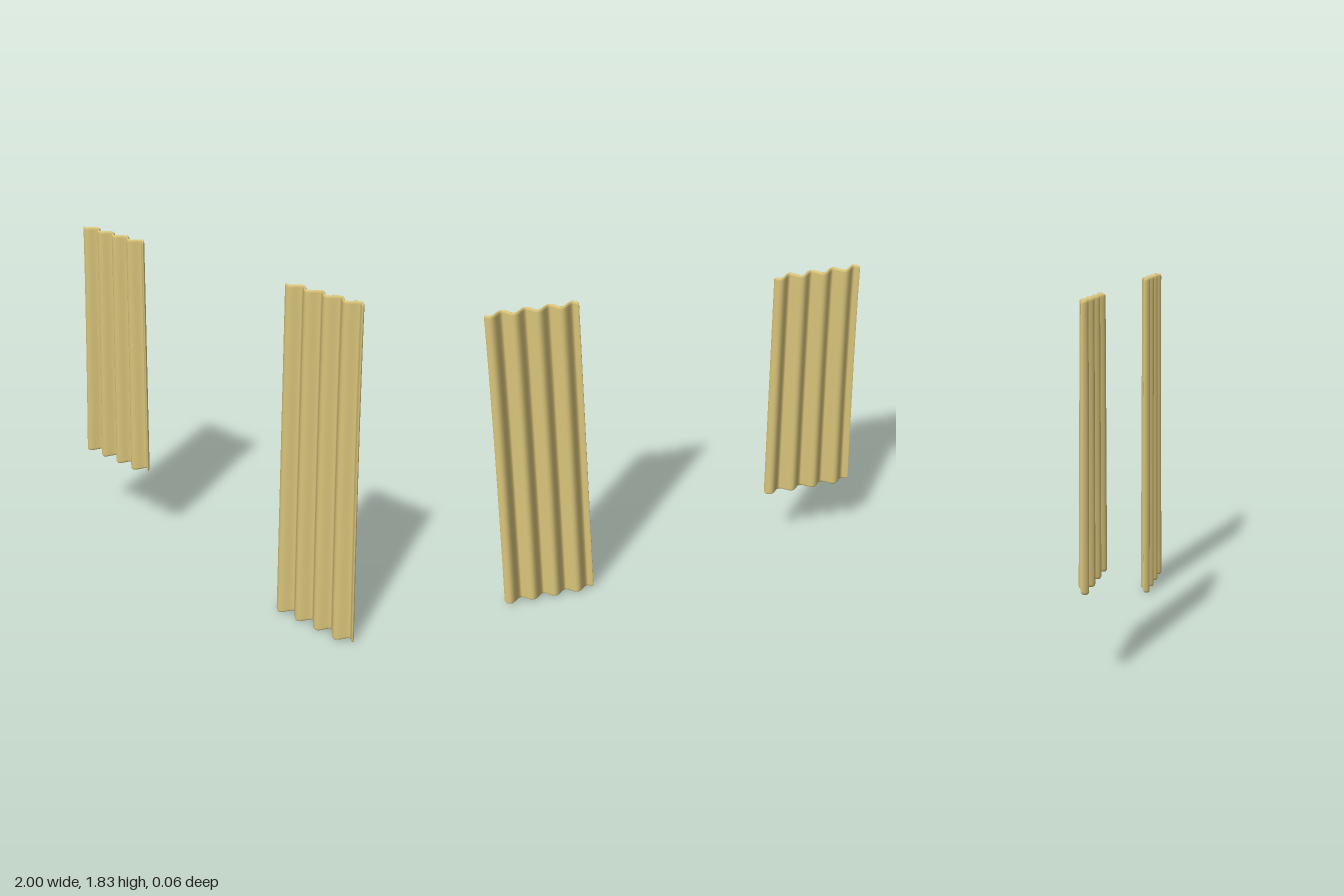
import * as THREE from 'three';

const HALF_THICK = 0.0075; // half the cloth thickness
const ROUND = 0.014;       // rounding of the rim
const FOLDS = 4;
const TOP = 1.83;

// Positions across a span 0..1 as [inset share, position, thickness factor], rounded at both ends
function roundedSpan(steps, capSteps) {
  const list = [];
  for (let i = 0; i < capSteps; i++) {
    const a = (i / capSteps) * Math.PI / 2;
    list.push({ t: 0, inset: ROUND * (1 - Math.sin(a)) - ROUND, thick: Math.sin(a), cap: a });
  }
  for (let i = 0; i <= steps; i++) list.push({ t: i / steps, inset: 0, thick: 1, cap: Math.PI / 2 });
  for (let i = capSteps - 1; i >= 0; i--) {
    const a = (i / capSteps) * Math.PI / 2;
    list.push({ t: 1, inset: ROUND - ROUND * (1 - Math.sin(a)), thick: Math.sin(a), cap: a });
  }
  // distance from the outer edge follows a quarter circle
  return list.map(({ t, thick, cap }) => {
    const edge = ROUND * (1 - Math.cos(cap));
    const offset = t === 0 ? edge : t === 1 ? -edge : ROUND * (1 - 2 * t);
    return { t, offset, thick, shrink: ROUND * (1 - thick) };
  });
}

// A hanging cloth: closed wavy cross-sections stacked from hem to top
function curtainGeometry({ inner, outerTop, outerHem, hem }) {
  const across = roundedSpan(96, 5);
  const rows = roundedSpan(28, 5);
  const ring = across.length * 2;
  const positions = [], index = [];

  for (const row of rows) {
    const y = hem + row.t * (TOP - hem) + row.offset;
    const drop = (TOP - y) / (TOP - hem);
    const outer = outerTop + (outerHem - outerTop) * Math.pow(Math.max(drop, 0), 1.35);
    const left = Math.min(inner, outer), right = Math.max(inner, outer);
    const width = right - left;
    const depth = 0.02 + 0.005 * drop;

    for (let k = 0; k < ring; k++) {
      const front = k < across.length;
      const a = across[front ? k : ring - 1 - k];
      // inset the row where the corners round off
      const x0 = left + a.t * width + a.offset;
      const x = x0 + row.shrink * (1 - 2 * (x0 - left) / width);
      const phase = ((x - left) / width) * FOLDS * Math.PI * 2;
      const z = depth * Math.sin(phase);
      // thickness is laid off square to the wave
      const slope = depth * Math.cos(phase) * FOLDS * Math.PI * 2 / width;
      const len = Math.hypot(1, slope);
      const h = (front ? 1 : -1) * HALF_THICK * a.thick * row.thick;
      // the hem sags slightly on the forward folds
      positions.push(x - h * slope / len, y - 0.2 * z * drop * drop, z + h / len);
    }
  }

  for (let r = 0; r < rows.length - 1; r++) {
    for (let k = 0; k < ring; k++) {
      const a = r * ring + k, b = r * ring + (k + 1) % ring;
      index.push(a, b, b + ring, a, b + ring, a + ring);
    }
  }
  const geometry = new THREE.BufferGeometry();
  geometry.setAttribute('position', new THREE.Float32BufferAttribute(positions, 3));
  geometry.setIndex(index);
  geometry.computeVertexNormals();
  return geometry;
}

export function createModel() {
  const group = new THREE.Group();
  group.name = 'curtains';
  const cloth = new THREE.MeshStandardMaterial({ color: 0xd9c47a, side: THREE.DoubleSide });

  const panels = [
    { name: 'longCurtainLeft', inner: 0.495, outerTop: 0.955, outerHem: 0.998, hem: 0.006 },
    { name: 'shortCurtainRight', inner: -0.498, outerTop: -0.957, outerHem: -1, hem: 0.472 },
  ];
  for (const panel of panels) {
    const mesh = new THREE.Mesh(curtainGeometry(panel), cloth);
    mesh.name = panel.name;
    group.add(mesh);
  }
  return group;
}
